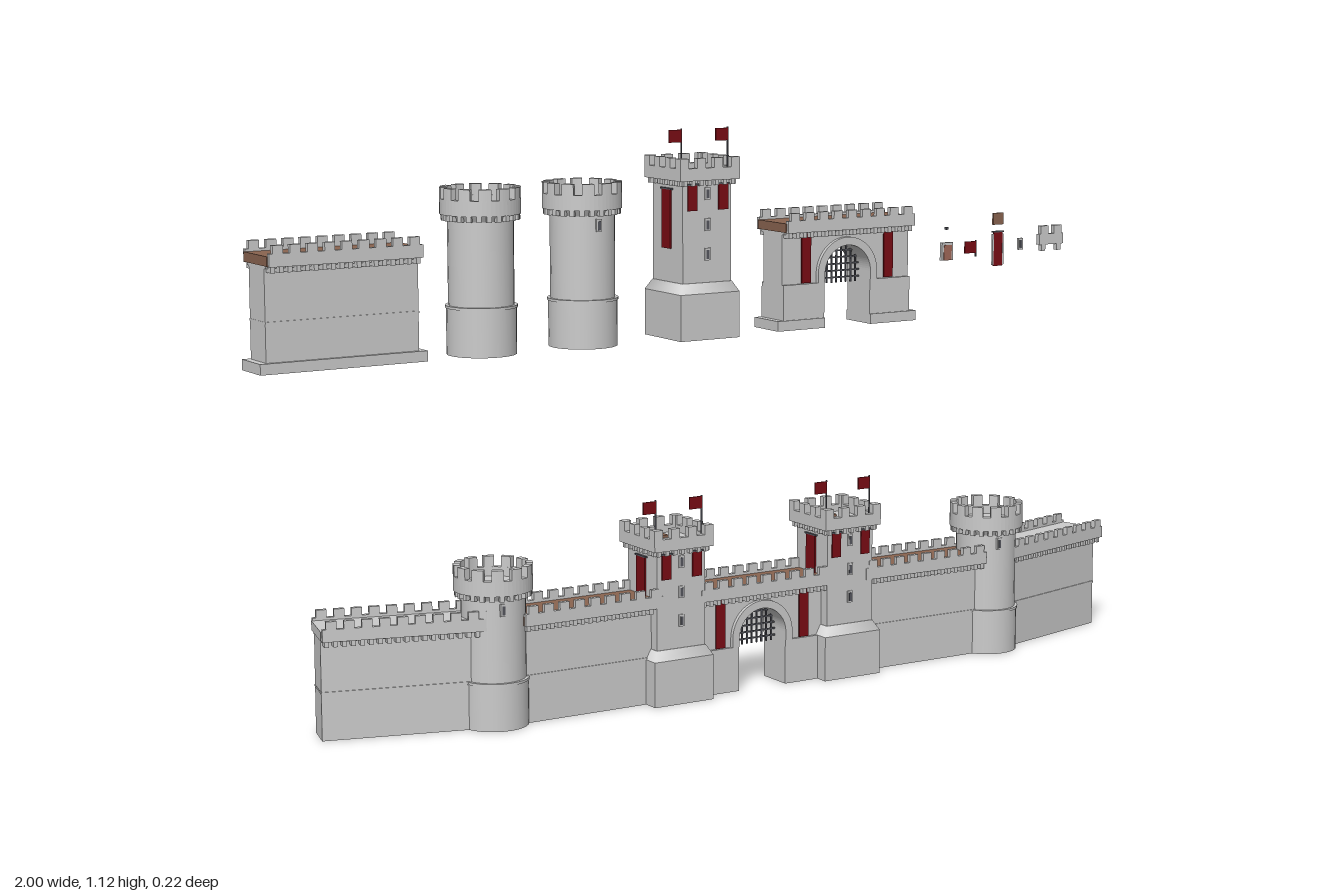
import * as THREE from 'three';

const mat = (color) => new THREE.MeshStandardMaterial({ color, side: THREE.DoubleSide });
const stone = mat(0xcccccc), wood = mat(0x8a6450), red = mat(0x7a0c14), dark = mat(0x55565e), door = mat(0xa06858);

function add(g, name, geo, m, x = 0, y = 0, z = 0) {
  const mesh = new THREE.Mesh(geo, m);
  mesh.name = name;
  mesh.position.set(x, y, z);
  g.add(mesh);
  return mesh;
}
// box standing on y
const box = (g, name, w, h, d, x, y, z, m = stone) =>
  add(g, name, new THREE.BoxGeometry(w, h, d), m, x, y + h / 2, z);
const drum = (g, name, rTop, rBot, y0, y1, sides = 28, m = stone) =>
  add(g, name, new THREE.CylinderGeometry(rTop, rBot, y1 - y0, sides), m, 0, (y0 + y1) / 2, 0);

// upright ring sector
function sector(g, name, r0, r1, y0, y1, a0, a1) {
  const s = new THREE.Shape();
  s.absarc(0, 0, r1, a0, a1, false);
  s.absarc(0, 0, r0, a1, a0, true);
  const geo = new THREE.ExtrudeGeometry(s, { depth: y1 - y0, bevelEnabled: false, curveSegments: a1 - a0 > 3 ? 28 : 3 });
  geo.rotateX(-Math.PI / 2);
  add(g, name, geo, stone, 0, y0, 0);
}

// walkway, parapets, merlons and corbels on top of a wall
function battlement(g, len, floorMat, x0 = 0) {
  box(g, 'walkway', len + 0.004, 0.018, 0.1, x0, 0.195, 0, floorMat);
  const n = Math.round(len / 0.034), pitch = len / n;
  for (const s of [-1, 1]) {
    box(g, 'parapet', len, 0.024, 0.009, x0, 0.194, s * 0.0515);
    for (let i = 0; i < n; i++) {
      const x = x0 - len / 2 + (i + 0.5) * pitch;
      box(g, 'merlon', pitch * 0.6, 0.016, 0.009, x, 0.217, s * 0.0515);
      for (const k of [-0.25, 0.25])
        box(g, 'corbel', pitch * 0.25, 0.012, 0.02, x + k * pitch, 0.183, s * 0.042);
    }
    box(g, 'corbelCourse', len, 0.006, 0.01, x0, 0.19, s * 0.036);
  }
}

function wall(len, floorMat, plinth) {
  const g = new THREE.Group();
  g.name = 'curtainWall';
  box(g, 'wallBody', len, 0.195, 0.066, 0, 0, 0);
  box(g, 'stringCourse', len + 0.001, 0.004, 0.07, 0, 0.09, 0);
  if (plinth) box(g, 'plinth', 0.334, 0.02, 0.08, 0, 0, 0);
  battlement(g, len, floorMat);
  return g;
}

function portcullis(g) {
  for (let i = -4; i <= 4; i++) {
    const x = i * 0.0115, top = 0.107 + Math.sqrt(0.055 ** 2 - x * x);
    box(g, 'portcullisBar', 0.003, top - 0.083, 0.003, x, 0.083, 0, dark);
  }
  for (let i = 0; i < 5; i++) {
    const y = 0.092 + i * 0.0135;
    const half = Math.sqrt(0.055 ** 2 - Math.max(0, y - 0.107) ** 2);
    box(g, 'portcullisRail', half * 2, 0.003, 0.003, 0, y, 0, dark);
  }
}

// cloth hanging on a rod, facing +z
function banner(w, h) {
  const g = new THREE.Group();
  g.name = 'banner';
  box(g, 'bannerCloth', w, h, 0.003, 0, -h, 0, red);
  box(g, 'bannerRod', w * 1.25, 0.003, 0.005, 0, -0.001, 0, dark);
  return g;
}
function place(parent, child, x, y, z, ry = 0) {
  child.position.set(x, y, z);
  child.rotation.y = ry;
  parent.add(child);
  return child;
}

function gate(plinth) {
  const g = new THREE.Group();
  g.name = 'gatehouse';
  const hw = 0.1525, r = 0.055, sy = 0.107;
  const s = new THREE.Shape();
  s.moveTo(-hw, 0); s.lineTo(-r, 0); s.lineTo(-r, sy);
  s.absarc(0, sy, r, Math.PI, 0, true);
  s.lineTo(r, 0); s.lineTo(hw, 0); s.lineTo(hw, 0.195); s.lineTo(-hw, 0.195);
  const body = new THREE.ExtrudeGeometry(s, { depth: 0.066, bevelEnabled: false, curveSegments: 20 });
  add(g, 'gateWall', body, stone, 0, 0, -0.033);
  // arch surround
  const a = new THREE.Shape();
  a.moveTo(r, 0.09); a.lineTo(r + 0.016, 0.09); a.lineTo(r + 0.016, sy);
  a.absarc(0, sy, r + 0.016, 0, Math.PI, false);
  a.lineTo(-r - 0.016, 0.09); a.lineTo(-r, 0.09); a.lineTo(-r, sy);
  a.absarc(0, sy, r, Math.PI, 0, true);
  add(g, 'archSurround', new THREE.ExtrudeGeometry(a, { depth: 0.082, bevelEnabled: false, curveSegments: 20 }), stone, 0, 0, -0.041);
  for (const k of [-1, 1]) {
    box(g, 'gateFooting', hw - r, 0.09, 0.078, k * (hw + r) / 2, 0, 0);
    if (plinth) box(g, 'plinth', 0.167 - r, 0.02, 0.084, k * (0.167 + r) / 2, 0, 0);
    for (const f of [0, Math.PI])
      place(g, banner(0.022, 0.1), k * 0.099, 0.192, f ? -0.039 : 0.039, f);
  }
  portcullis(g);
  battlement(g, 2 * hw, wood);
  return g;
}

// small loop window facing +z
function loopWindow(g, x, y, z) {
  box(g, 'windowFrame', 0.012, 0.024, 0.005, x, y, z);
  box(g, 'windowSlit', 0.006, 0.017, 0.007, x, y + 0.003, z, dark);
}
function doorway(g, z) {
  box(g, 'doorFrame', 0.027, 0.036, 0.008, 0, 0, z);
  box(g, 'doorLeaf', 0.019, 0.031, 0.011, 0, 0, z, door);
}

function roundTower(extras) {
  const g = new THREE.Group();
  g.name = 'roundTower';
  drum(g, 'towerBase', 0.066, 0.066, 0, 0.088);
  drum(g, 'towerBand', 0.068, 0.068, 0.088, 0.093);
  drum(g, 'towerShaft', 0.062, 0.062, 0.093, 0.274);
  drum(g, 'headFlare', 0.069, 0.062, 0.252, 0.264);
  sector(g, 'towerParapet', 0.063, 0.076, 0.263, 0.292, 0, Math.PI * 2 - 1e-4);
  drum(g, 'towerFloor', 0.066, 0.066, 0.265, 0.274);
  for (let i = 0; i < 12; i++) {
    const a = i * Math.PI / 6;
    sector(g, 'towerMerlon', 0.063, 0.076, 0.29, 0.313, a, a + 0.31);
    for (const o of [0, Math.PI / 12]) {
      const c = box(g, 'towerCorbel', 0.01, 0.013, 0.009, Math.cos(a + o) * 0.069, 0.252, Math.sin(a + o) * 0.069);
      c.rotation.y = -a - o;
    }
  }
  if (extras) {
    loopWindow(g, 0, 0.222, 0.062);
    box(g, 'hatch', 0.022, 0.004, 0.022, 0, 0.274, -0.035, wood);
    doorway(g, -0.065);
  }
  return g;
}

function flag(g, x, z, y0, y1) {
  box(g, 'flagPole', 0.0025, y1 - y0, 0.0025, x, y0, z, dark);
  box(g, 'flagCloth', 0.028, 0.024, 0.003, x - 0.014, y1 - 0.026, z, red);
}

function squareTower(hasDoor) {
  const g = new THREE.Group();
  g.name = 'squareTower';
  box(g, 'towerBase', 0.134, 0.09, 0.134, 0, 0, 0);
  drum(g, 'baseSlope', 0.112 / Math.SQRT2, 0.134 / Math.SQRT2, 0.09, 0.11, 4).rotation.y = Math.PI / 4;
  box(g, 'towerShaft', 0.11, 0.21, 0.11, 0, 0.105, 0);
  box(g, 'towerFloor', 0.12, 0.008, 0.12, 0, 0.31, 0);
  box(g, 'hatch', 0.022, 0.005, 0.022, 0, 0.318, -0.02, wood);
  for (let q = 0; q < 4; q++) {
    const side = new THREE.Group();
    side.name = 'battlementSide';
    box(side, 'towerParapet', 0.134, 0.024, 0.013, 0, 0.308, 0.0605);
    for (let i = 0; i < 4; i++) {
      const x = -0.0575 + i * 0.03833;
      box(side, 'towerMerlon', 0.019, 0.02, 0.013, x, 0.331, 0.0605);
    }
    for (let i = 0; i < 7; i++)
      box(side, 'towerCorbel', 0.008, 0.011, 0.012, -0.054 + i * 0.018, 0.298, 0.058);
    place(g, side, 0, 0, 0, q * Math.PI / 2);
  }
  for (const k of [-1, 1]) {
    place(g, banner(0.021, 0.05), k * 0.035, 0.3, 0.058);
    place(g, banner(0.032, 0.115), k * 0.058, 0.29, 0, k * Math.PI / 2);
  }
  for (const y of [0.153, 0.21, 0.27]) loopWindow(g, 0, y, 0.055);
  flag(g, -0.055, 0.05, 0.31, 0.408);
  flag(g, 0.05, 0.05, 0.31, 0.408);
  if (hasDoor) doorway(g, -0.067);
  return g;
}

// loose small parts
function smallParts() {
  const g = new THREE.Group();
  g.name = 'smallParts';
  const d = new THREE.Group();
  d.name = 'loosePostern';
  doorway(d, 0);
  place(g, d, 0.51, 0.118, 0.045);
  box(g, 'smallMarker', 0.006, 0.005, 0.006, 0.51, 0.18, 0.045, dark);
  flag(g, 0.588, 0.04, 0.12, 0.154);
  place(g, banner(0.022, 0.07), 0.644, 0.168, 0.04);
  for (const k of [-1, 1]) box(g, 'bannerTrim', 0.003, 0.064, 0.004, 0.644 + k * 0.0125, 0.1, 0.04);
  box(g, 'looseHatch', 0.026, 0.024, 0.004, 0.644, 0.183, 0.04, wood);
  loopWindow(g, 0.702, 0.128, 0.04);
  box(g, 'looseParapet', 0.062, 0.022, 0.01, 0.782, 0.135, 0.037);
  for (const k of [-1, 1]) {
    box(g, 'looseMerlon', 0.02, 0.017, 0.01, 0.782 + k * 0.017, 0.157, 0.037);
    box(g, 'looseCorbel', 0.01, 0.014, 0.01, 0.782 + k * 0.02, 0.122, 0.037);
  }
  return g;
}

export function createModel() {
  const root = new THREE.Group();
  root.name = 'castleWallKit';
  const Z = 0.03, Y = 0.715, C = 0.07;

  // upper row of single pieces
  place(root, wall(0.305, wood, true), -0.833, Y, Z);
  place(root, roundTower(false), -0.533, Y, Z);
  place(root, roundTower(true), -0.315, Y, Z);
  place(root, squareTower(true), -0.07, Y, Z);
  place(root, gate(true), 0.27, Y, Z);
  place(root, smallParts(), 0, Y, Z);

  // assembled wall, mirrored about the gate
  place(root, gate(false), C, 0, Z);
  for (const k of [-1, 1]) {
    place(root, squareTower(k < 0), C + k * 0.2, 0, Z);
    place(root, wall(0.305, wood, false), C + k * 0.393, 0, Z);
    const t = place(root, roundTower(false), C + k * 0.585, 0, Z);
    loopWindow(t, -0.012, 0.222, 0.061);
    const a = Math.PI / 12, h = 0.169;
    const wing = place(root, wall(0.338, stone, false),
      C + k * (0.585 + h * Math.cos(a)), 0, Z - h * Math.sin(a), k * a);
    wing.name = 'wingWall';
  }
  return root;
}
